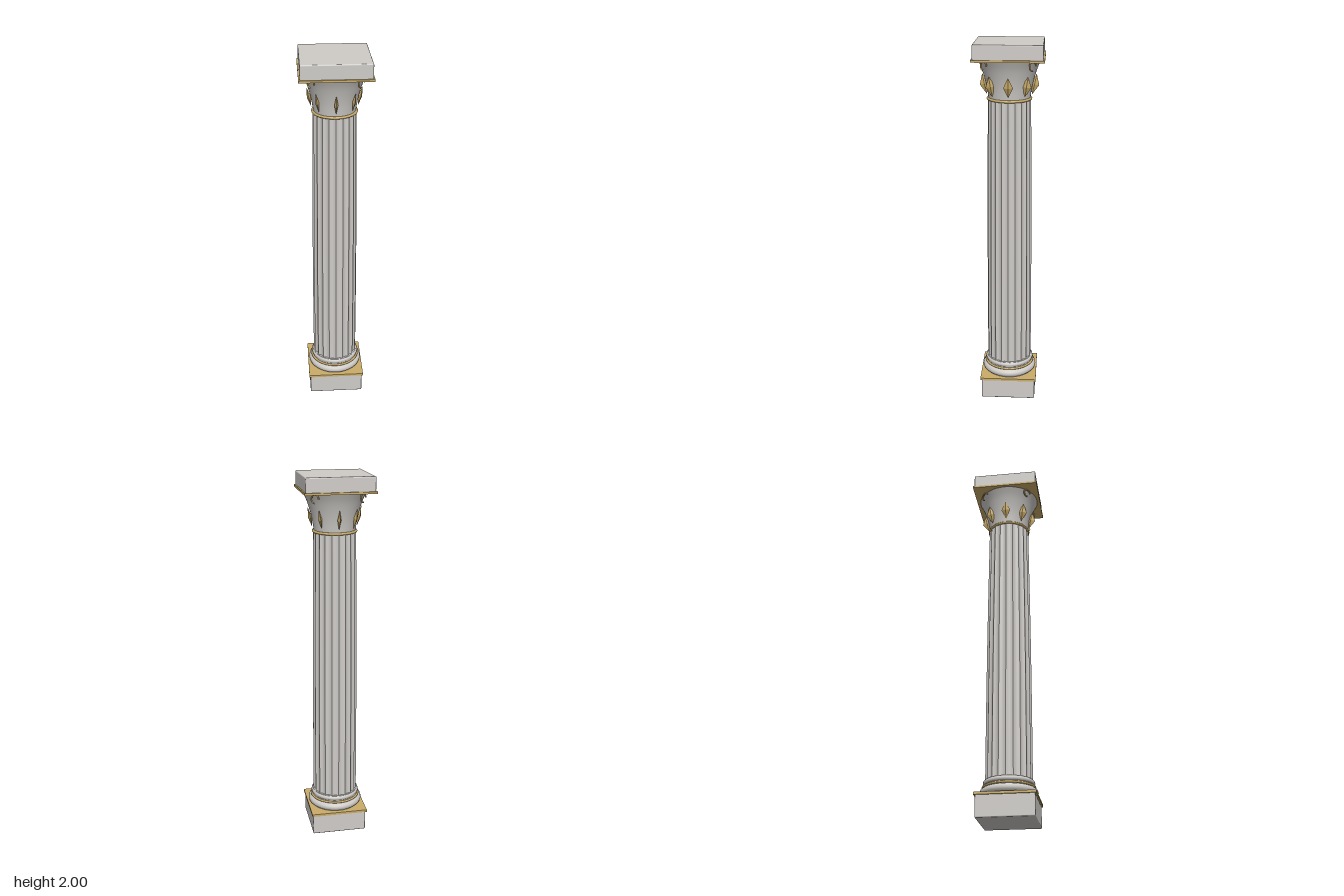
import * as THREE from 'three';
import { RoundedBoxGeometry } from 'three/addons/geometries/RoundedBoxGeometry.js';

const stone = new THREE.MeshStandardMaterial({ color: 0xcfccc8 });
stone.name = 'stone';
const gold = new THREE.MeshStandardMaterial({ color: 0xcbad6a });
gold.name = 'gold';

function add(parent, name, geometry, material, x = 0, y = 0, z = 0) {
  const mesh = new THREE.Mesh(geometry, material);
  mesh.name = name;
  mesh.position.set(x, y, z);
  parent.add(mesh);
  return mesh;
}

// Square block or slab between two heights
function block(parent, name, half, y0, y1, material, radius = 0) {
  const h = y1 - y0;
  const geo = radius
    ? new RoundedBoxGeometry(half * 2, h, half * 2, 3, radius)
    : new THREE.BoxGeometry(half * 2, h, half * 2);
  return add(parent, name, geo, material, 0, (y0 + y1) / 2, 0);
}

function ring(parent, name, radius, tube, y, material) {
  const geo = new THREE.TorusGeometry(radius, tube, 12, 64).rotateX(Math.PI / 2);
  return add(parent, name, geo, material, 0, y, 0);
}

// Tapered shaft: concave flutes meeting at sharp edges
function flutedShaft(y0, y1) {
  const flutes = 20, steps = 6, rows = 12, depth = 0.008;
  const positions = [], indices = [];
  for (let f = 0; f < flutes; f++) {
    const start = positions.length / 3;
    for (let r = 0; r <= rows; r++) {
      const t = r / rows;
      const radius = 0.123 - 0.01 * t + 0.003 * Math.sin(Math.PI * t);
      for (let s = 0; s <= steps; s++) {
        const u = s / steps;
        const a = ((f + u) / flutes) * Math.PI * 2;
        const q = radius - depth * Math.sin(Math.PI * u);
        positions.push(q * Math.sin(a), y0 + (y1 - y0) * t, q * Math.cos(a));
      }
    }
    for (let r = 0; r < rows; r++) {
      for (let s = 0; s < steps; s++) {
        const a = start + r * (steps + 1) + s, b = a + steps + 1;
        indices.push(a, a + 1, b, a + 1, b + 1, b);
      }
    }
  }
  const geo = new THREE.BufferGeometry();
  geo.setAttribute('position', new THREE.Float32BufferAttribute(positions, 3));
  geo.setIndex(indices);
  geo.computeVertexNormals();
  return geo;
}

export function createModel() {
  const column = new THREE.Group();
  column.name = 'column';

  // Base
  const base = new THREE.Group();
  base.name = 'base';
  column.add(base);
  block(base, 'plinth', 0.15, 0, 0.115, stone, 0.006);
  block(base, 'plinthTrim', 0.157, 0.113, 0.126, gold);
  add(base, 'baseCore', new THREE.CylinderGeometry(0.126, 0.135, 0.09, 64), stone, 0, 0.17, 0);
  ring(base, 'lowerTorus', 0.128, 0.023, 0.15, stone);
  ring(base, 'baseBand', 0.133, 0.006, 0.179, gold);
  ring(base, 'upperTorus', 0.119, 0.015, 0.2, stone);

  // Shaft
  add(column, 'shaft', flutedShaft(0.2, 1.705), stone);
  ring(column, 'neckRing', 0.112, 0.007, 1.706, gold);

  // Capital
  const capital = new THREE.Group();
  capital.name = 'capital';
  column.add(capital);
  const curve = new THREE.SplineCurve([
    [0.108, 1.7], [0.117, 1.76], [0.13, 1.815], [0.148, 1.87], [0.17, 1.917],
  ].map(([x, y]) => new THREE.Vector2(x, y)));
  add(capital, 'bell', new THREE.LatheGeometry(curve.getPoints(16), 64), stone);
  block(capital, 'abacusTrim', 0.185, 1.914, 1.925, gold);
  block(capital, 'abacus', 0.178, 1.922, 2, stone, 0.006);

  // Diamond leaves, broad along z, leaning outward
  const leafGeo = new THREE.OctahedronGeometry(1).scale(0.01, 0.054, 0.025);
  for (let i = 0; i < 8; i++) {
    const a = (i / 8) * Math.PI * 2;
    const leaf = add(capital, 'leaf', leafGeo, gold, 0.13 * Math.cos(a), 1.779, 0.13 * Math.sin(a));
    leaf.rotation.set(0.22 * Math.sin(a), 0, -0.22 * Math.cos(a));
  }

  // Curled volutes under the four corners
  const curlGeo = new THREE.TorusGeometry(0.022, 0.004, 8, 24, Math.PI * 1.5);
  for (let i = 0; i < 4; i++) {
    const a = Math.PI / 4 + (i * Math.PI) / 2;
    const curl = add(capital, 'volute', curlGeo, gold, 0.175 * Math.sin(a), 1.888, 0.175 * Math.cos(a));
    curl.rotation.y = a;
  }
  return column;
}
